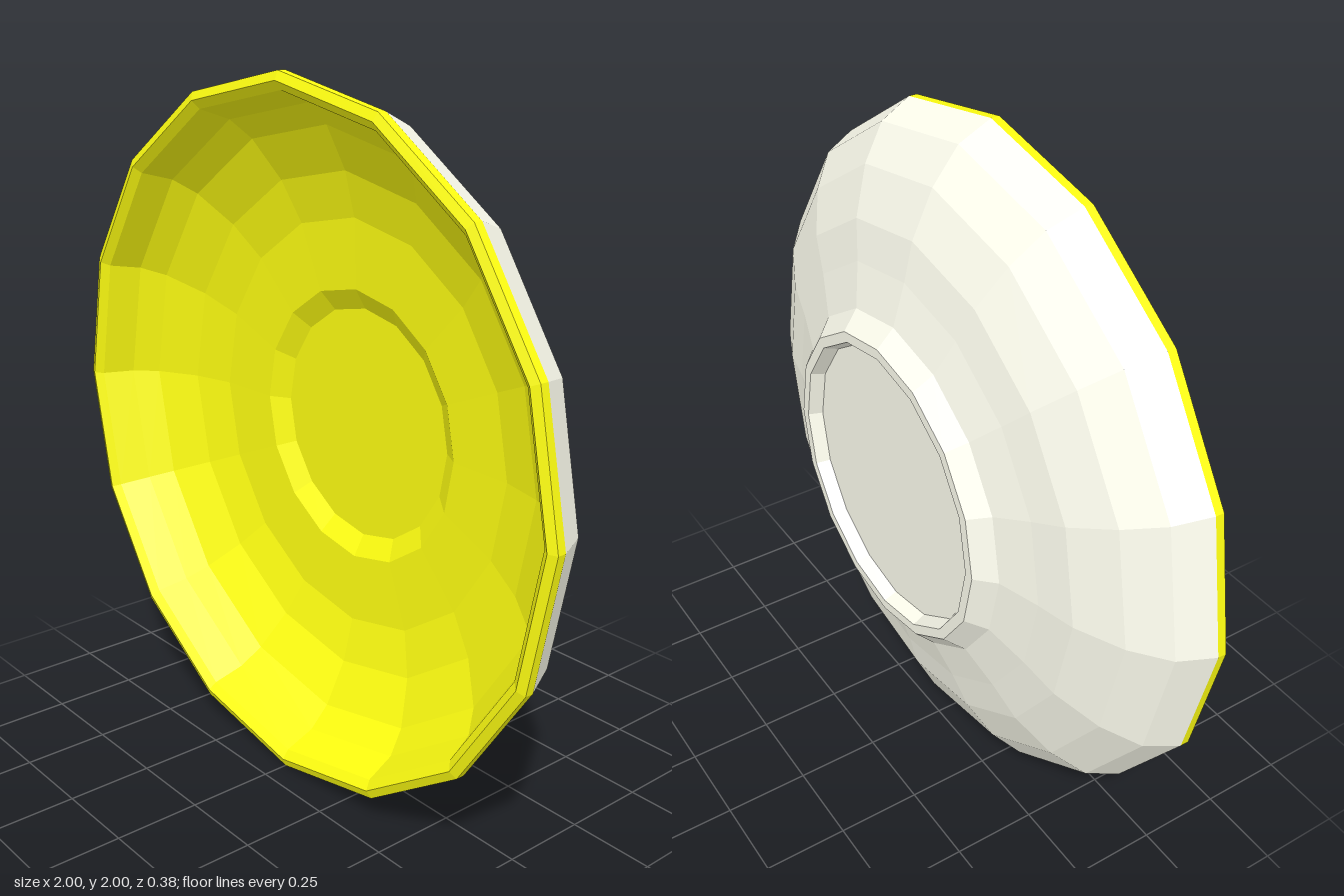
import * as THREE from 'three';

const SIDES = 16;

// Turned shell from [radius, depth] pairs; the turning axis lies along z
function turned(name, profile, color) {
  const points = profile.map(([r, z]) => new THREE.Vector2(r, z));
  const geometry = new THREE.LatheGeometry(points, SIDES);
  geometry.rotateX(Math.PI / 2);
  const material = new THREE.MeshStandardMaterial({ color, flatShading: true, side: THREE.DoubleSide });
  const mesh = new THREE.Mesh(geometry, material);
  mesh.name = name;
  mesh.position.y = 1;
  return mesh;
}

export function createModel() {
  const saucer = new THREE.Group();
  saucer.name = 'saucer';

  // Underside: recessed base, foot ring, then the curved outer wall
  saucer.add(turned('underside', [
    [0, -0.15], [0.405, -0.15], [0.42, -0.19], [0.45, -0.19], [0.5, -0.14],
    [0.62, -0.105], [0.73, -0.08], [0.86, -0.02], [0.955, 0.055], [1, 0.15],
  ], 0xfffff0));

  // Glazed rim and bowl, down to the round cup well
  saucer.add(turned('glazedTop', [
    [1, 0.15], [1, 0.175], [0.975, 0.185], [0.95, 0.165], [0.915, 0.075],
    [0.855, 0.015], [0.73, -0.05], [0.6, -0.083], [0.4, -0.09],
    [0.34, -0.125], [0, -0.125],
  ], 0xffff11));

  return saucer;
}
